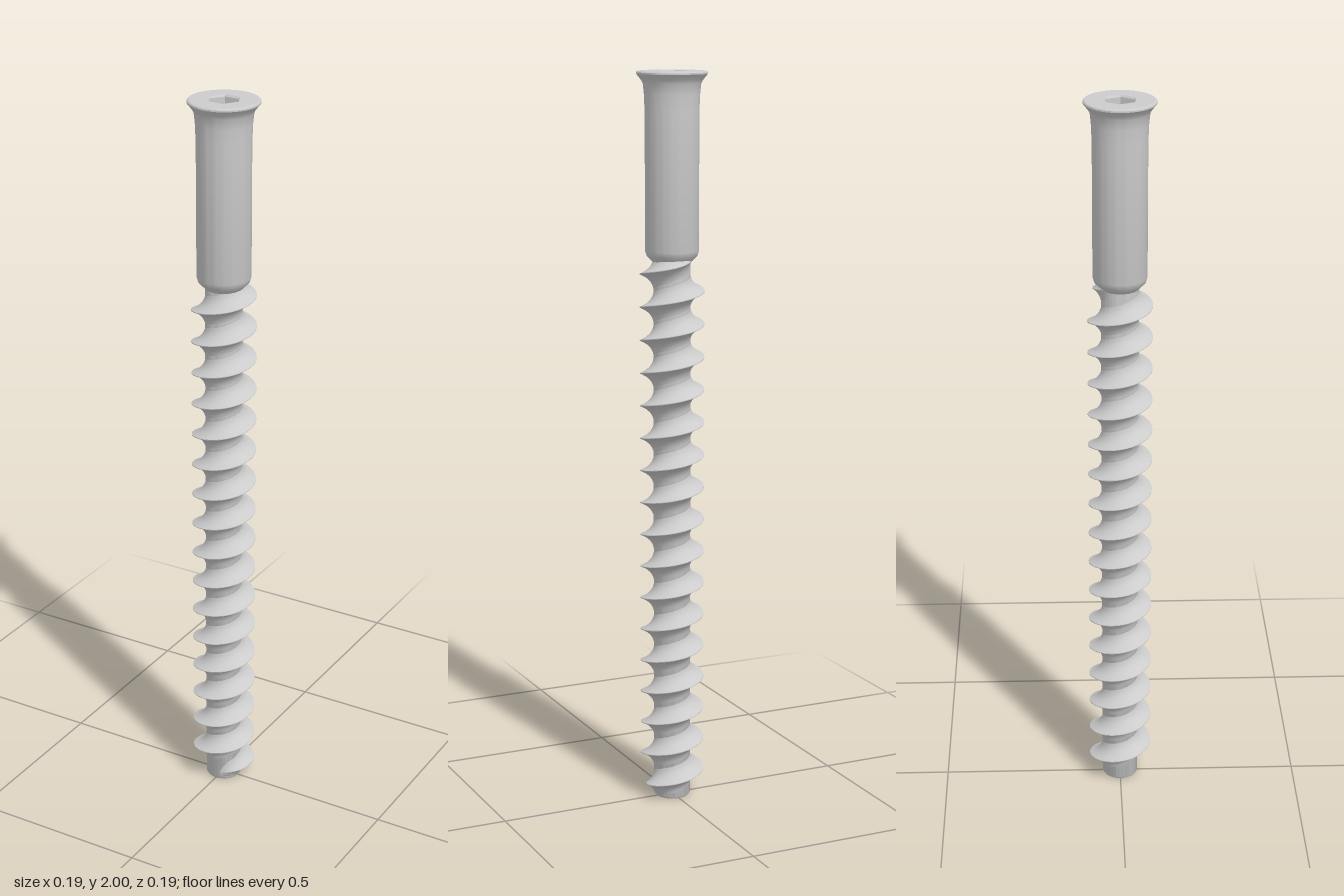
import * as THREE from 'three';
import { toCreasedNormals } from 'three/addons/utils/BufferGeometryUtils.js';

const PITCH = 0.0895;
const CORE = 0.05;
const HEX_TURN = THREE.MathUtils.degToRad(26);

function addMesh(parent, name, geometry, side = THREE.FrontSide, flatShading = false) {
  const material = new THREE.MeshStandardMaterial({ color: 0xcccccc, side, flatShading });
  const mesh = new THREE.Mesh(geometry, material);
  mesh.name = name;
  parent.add(mesh);
  return mesh;
}

function turned(points) {
  const profile = points.map(([r, y]) => new THREE.Vector2(r, y));
  return toCreasedNormals(new THREE.LatheGeometry(profile, 64), 0.6);
}

// One flank of the thread: a profile of [radius, height offset] swept along a helix.
function threadFlank(profile, yStart, yEnd) {
  const steps = Math.ceil((yEnd - yStart) / PITCH * 48);
  const n = profile.length;
  const positions = [], index = [];
  for (let i = 0; i <= steps; i++) {
    const y = yStart + (yEnd - yStart) * i / steps;
    const a = (y - 1.449) / PITCH * Math.PI * 2;
    // The ridge runs out into the core at both ends
    const fade = THREE.MathUtils.smoothstep(y, yStart, yStart + 0.03)
      * (1 - THREE.MathUtils.smoothstep(y, yEnd - 0.04, yEnd));
    for (const [r, dy] of profile) {
      const radius = CORE - 0.001 + (r - CORE + 0.001) * fade;
      positions.push(Math.sin(a) * radius, Math.max(0.012, y + dy), Math.cos(a) * radius);
    }
  }
  for (let i = 0; i < steps; i++) {
    for (let j = 0; j < n - 1; j++) {
      const p = i * n + j, q = p + n;
      index.push(p, q, p + 1, q, q + 1, p + 1);
    }
  }
  const geometry = new THREE.BufferGeometry();
  geometry.setAttribute('position', new THREE.Float32BufferAttribute(positions, 3));
  geometry.setIndex(index);
  geometry.computeVertexNormals();
  return geometry;
}

export function createModel() {
  const screw = new THREE.Group();
  screw.name = 'screw';

  // Threaded core with a blunt, slightly chamfered tip
  addMesh(screw, 'core', turned([[0, 0], [0.046, 0], [CORE, 0.006], [CORE, 1.52]]));

  // Concave thread flanks meeting at a sharp crest
  const lower = [[0.049, -0.045], [0.051, -0.034], [0.055, -0.025], [0.061, -0.017],
    [0.069, -0.010], [0.078, -0.005], [0.087, -0.001]];
  const upper = lower.map(([r, dy]) => [r, -dy]).reverse();
  const thread = new THREE.Group();
  thread.name = 'thread';
  screw.add(thread);
  const flanks = {
    lowerFlank: lower,
    crest: [lower[lower.length - 1], upper[0]],
    upperFlank: upper,
  };
  for (const [name, profile] of Object.entries(flanks)) {
    addMesh(thread, name, threadFlank(profile, 0.018, 1.515));
  }

  // Smooth shank flaring into the countersunk head
  addMesh(screw, 'shankAndHead', turned([
    [0.049, 1.495], [0.056, 1.502], [0.068, 1.515], [0.072, 1.528], [0.072, 1.89],
    [0.074, 1.94], [0.077, 1.968], [0.083, 1.978], [0.091, 1.988],
    [0.0945, 1.992], [0.0945, 1.996], [0.092, 1.999], [0.088, 2],
  ]));

  // Flat head face with a hexagonal opening
  const face = new THREE.Shape().absarc(0, 0, 0.088, 0, Math.PI * 2);
  const opening = new THREE.Path();
  for (let i = 0; i < 6; i++) {
    const a = HEX_TURN + i * Math.PI / 3;
    const x = Math.sin(a) * 0.045, y = -Math.cos(a) * 0.045;
    if (i === 0) opening.moveTo(x, y);
    else opening.lineTo(x, y);
  }
  opening.closePath();
  face.holes.push(opening);
  addMesh(screw, 'headFace', new THREE.ShapeGeometry(face, 32).rotateX(-Math.PI / 2).translate(0, 2, 0));

  // Hex socket: chamfered lip, walls and floor
  const hex = (top, bottom, height) =>
    new THREE.CylinderGeometry(top, bottom, height, 6, 1, true, HEX_TURN);
  const socket = new THREE.Group();
  socket.name = 'hexSocket';
  screw.add(socket);
  addMesh(socket, 'socketLip', hex(0.045, 0.041, 0.005), THREE.DoubleSide, true).position.y = 1.9975;
  addMesh(socket, 'socketWalls', hex(0.041, 0.041, 0.075), THREE.DoubleSide, true).position.y = 1.9575;
  const floor = new THREE.CircleGeometry(0.043, 32).rotateX(-Math.PI / 2);
  addMesh(socket, 'socketFloor', floor).position.y = 1.92;

  return screw;
}
